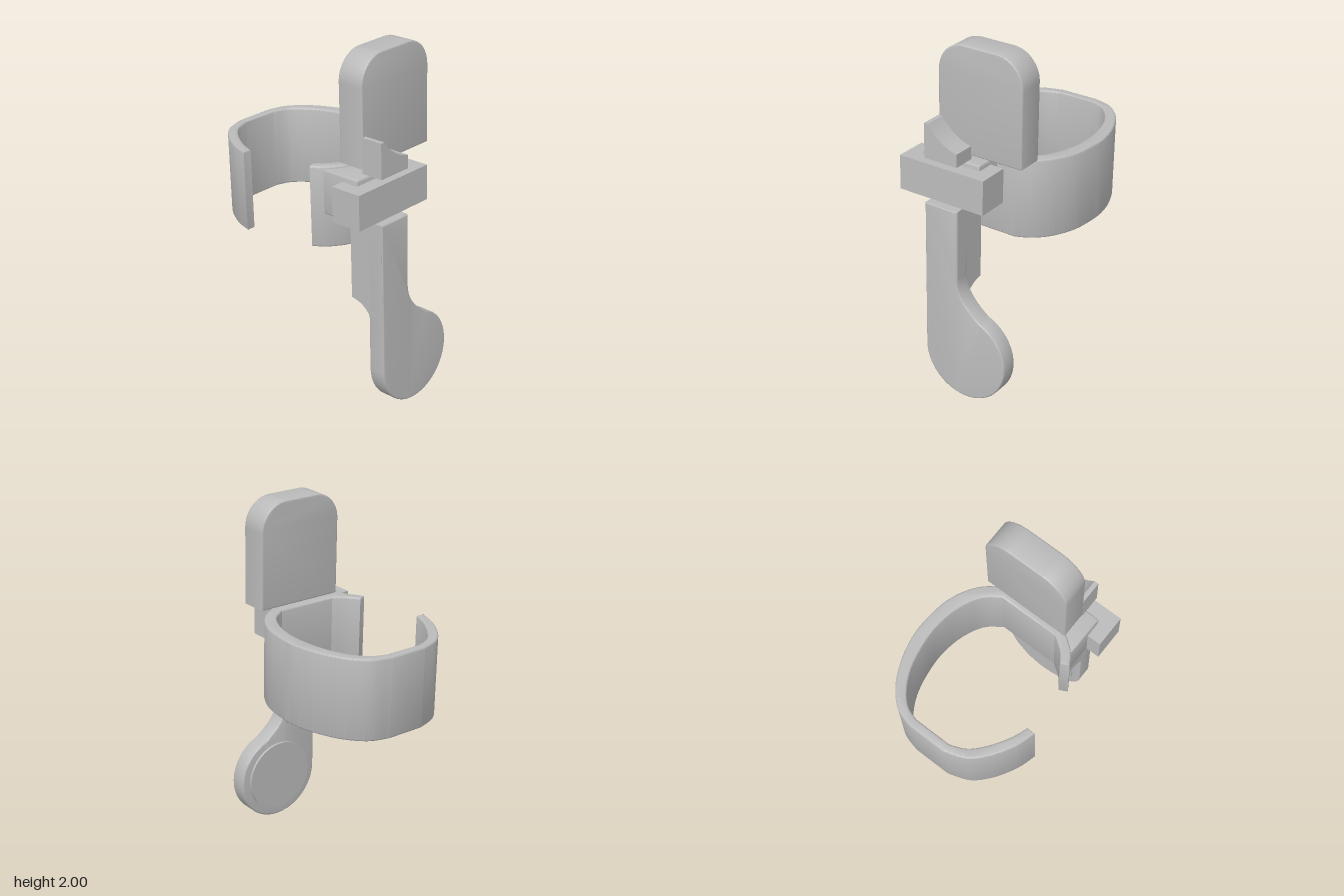
import * as THREE from 'three';
import { toCreasedNormals } from 'three/addons/utils/BufferGeometryUtils.js';

const V = (x, y) => new THREE.Vector2(x, y);
const pts = (list) => list.map(([x, y]) => V(x, y));

export function createModel() {
  const grey = new THREE.MeshStandardMaterial({ color: 0xbababa });
  grey.name = 'plain grey';

  // Everything leans back by two degrees
  const tilted = new THREE.Group();
  tilted.name = 'leaningAssembly';
  tilted.rotation.x = -0.035;

  const add = (name, geometry) => {
    const mesh = new THREE.Mesh(geometry, grey);
    mesh.name = name;
    tilted.add(mesh);
    return mesh;
  };

  // Extrude a shape from z = 0 to z = depth, with an inset bevel
  const slab = (shape, depth, bevel = 0) => {
    const g = new THREE.ExtrudeGeometry(shape, {
      depth: depth - 2 * bevel, curveSegments: 24,
      bevelEnabled: bevel > 0, bevelThickness: bevel, bevelSize: bevel,
      bevelOffset: -bevel, bevelSegments: 3,
    });
    g.translate(0, 0, bevel);
    return toCreasedNormals(g, 0.6);
  };
  // Shapes drawn in front view, from zBack to zFront
  const frontSlab = (shape, zBack, zFront, bevel) =>
    slab(shape, zFront - zBack, bevel).translate(0, 0, zBack);
  // Shapes drawn in plan (x, z), from yLow to yHigh
  const planSlab = (shape, yLow, yHigh, bevel) =>
    slab(shape, yHigh - yLow, bevel).rotateX(Math.PI / 2).translate(0, yHigh, 0);

  // Open band: outer edge one way, inner edge back
  const band = new THREE.Shape();
  band.moveTo(-0.425, -0.24);
  band.splineThru(pts([[-0.39, -0.35], [-0.32, -0.47], [-0.23, -0.56], [-0.11, -0.605]]));
  band.lineTo(0.11, -0.605);
  band.splineThru(pts([[0.22, -0.57], [0.315, -0.475], [0.38, -0.345], [0.413, -0.22],
    [0.42, -0.11], [0.4, 0.05], [0.345, 0.175], [0.27, 0.26], [0.18, 0.31]]));
  band.lineTo(-0.18, 0.31);
  band.splineThru(pts([[-0.23, 0.285], [-0.3, 0.23], [-0.342, 0.165]]));
  band.lineTo(-0.295, 0.142);
  band.splineThru(pts([[-0.25, 0.2], [-0.18, 0.25]]));
  band.lineTo(0.17, 0.25);
  band.splineThru(pts([[0.25, 0.19], [0.3, 0.11], [0.335, 0], [0.346, -0.14],
    [0.32, -0.31], [0.27, -0.43], [0.195, -0.52], [0.11, -0.555]]));
  band.lineTo(-0.11, -0.555);
  band.splineThru(pts([[-0.2, -0.515], [-0.275, -0.435], [-0.34, -0.33], [-0.375, -0.24]]));
  add('openBand', planSlab(band, 0.92, 1.38, 0.009)).position.z = 0.048;

  // Upper plate with two rounded top corners
  const L = -0.225, R = 0.29, top = 1.988, r = 0.16;
  const plate = new THREE.Shape();
  plate.moveTo(L, 1.392);
  plate.lineTo(R, 1.392);
  plate.lineTo(R, top - r);
  plate.absarc(R - r, top - r, r, 0, Math.PI / 2);
  plate.absarc(L + r, top - r, r, Math.PI / 2, Math.PI);
  plate.closePath();
  add('upperPlate', frontSlab(plate, 0.32, 0.48, 0.008));

  // Mounting bracket between band and clip
  const bracket = new THREE.Shape(pts([[-0.305, 0.275], [-0.21, 0.31], [0.06, 0.31],
    [0.06, 0.515], [-0.305, 0.515]]));
  add('mountingBracket', planSlab(bracket, 1.115, 1.366, 0.008));

  // U-shaped clip around the bracket
  const clip = new THREE.Shape(pts([[-0.39, 0.415], [-0.31, 0.415], [-0.31, 0.51], [0.06, 0.51],
    [0.06, 0.415], [0.14, 0.415], [0.14, 0.6], [-0.39, 0.6]]));
  add('slidingClip', planSlab(clip, 1.14, 1.337));

  // Stop block with a scooped top
  const stop = new THREE.Shape();
  stop.moveTo(L, 1.37);
  stop.lineTo(-0.02, 1.37);
  stop.lineTo(-0.02, 1.445);
  stop.bezierCurveTo(-0.1, 1.46, -0.16, 1.51, -0.2, 1.568);
  stop.lineTo(L, 1.568);
  stop.closePath();
  add('stopBlock', frontSlab(stop, 0.475, 0.606));

  // Lever face running down into a round paddle
  const cx = 0.0325, cy = 0.24, rad = 0.2575;
  const lever = new THREE.Shape();
  lever.moveTo(L, 1.11);
  lever.lineTo(L, cy);
  lever.absarc(cx, cy, rad, Math.PI, Math.PI * 2 + 1.2);
  lever.bezierCurveTo(0.03, 0.55, -0.02, 0.61, -0.02, 0.7);
  lever.lineTo(-0.02, 1.11);
  lever.closePath();
  add('leverPaddle', frontSlab(lever, 0.505, 0.605, 0.008));

  // Thicker upper stem, drawn from the side (z, y)
  const stem = new THREE.Shape();
  stem.moveTo(0.6, 0.56);
  stem.lineTo(0.508, 0.56);
  stem.quadraticCurveTo(0.47, 0.62, 0.384, 0.63);
  stem.lineTo(0.384, 1.115);
  stem.lineTo(0.6, 1.11);
  stem.closePath();
  add('leverStem', slab(stem, 0.205).rotateY(-Math.PI / 2).translate(-0.02, 0, 0));

  // Round pad on the back of the paddle
  const pad = new THREE.CylinderGeometry(0.208, 0.208, 0.03, 64);
  add('paddlePad', pad.rotateX(Math.PI / 2).translate(cx, cy + 0.005, 0.505));

  const model = new THREE.Group();
  model.name = 'bandWithLever';
  model.add(tilted);
  return model;
}
